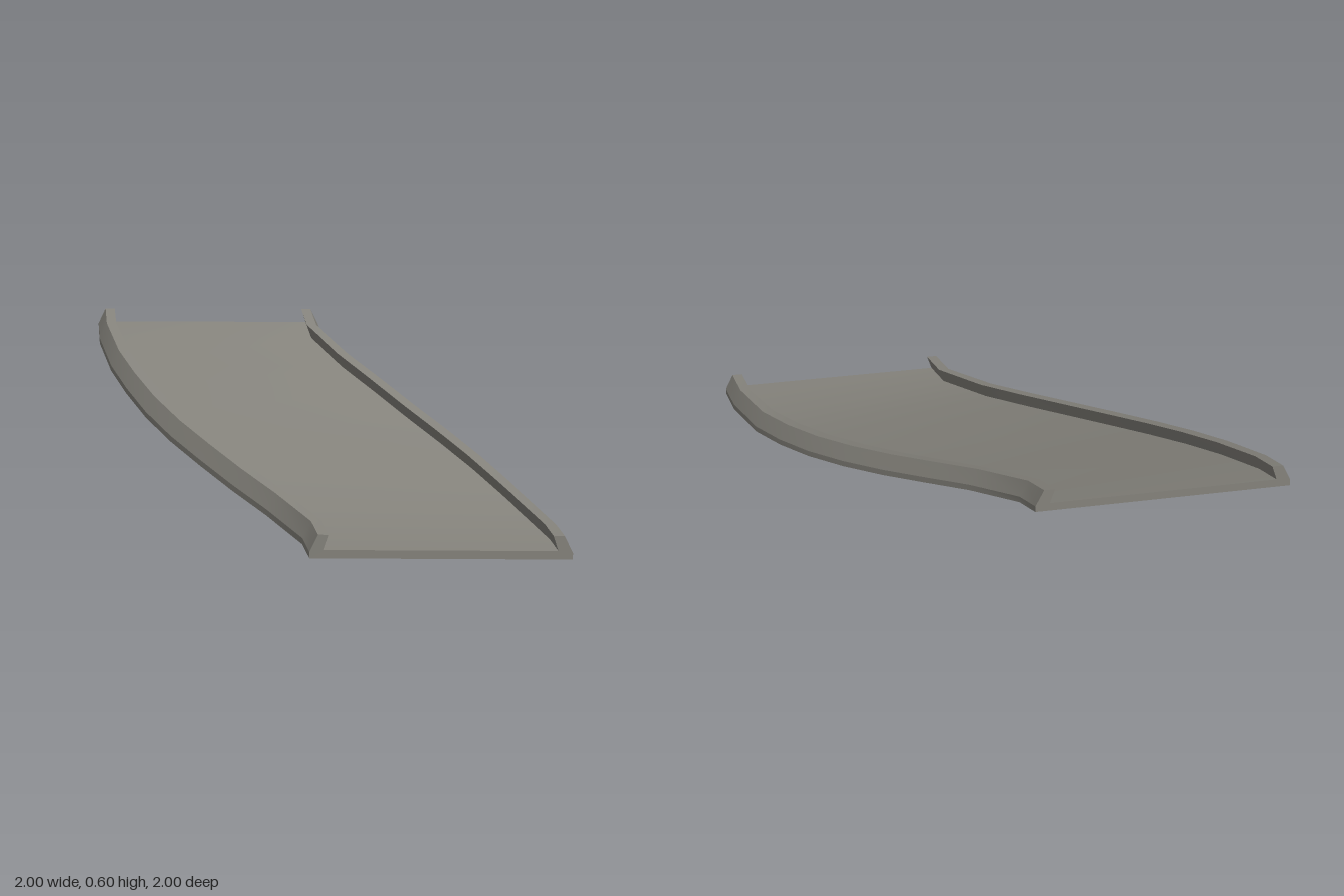
import * as THREE from 'three';
import { toCreasedNormals } from 'three/addons/utils/BufferGeometryUtils.js';

// Stations from front to back: z, left-edge x, underside height at each edge
const STATIONS = [
  [1, 0, 0, 0], [0.85, -0.03, 0.012, 0.003], [0.6, -0.18, 0.06, 0.025],
  [0.4, -0.325, 0.108, 0.065], [0.2, -0.465, 0.16, 0.115], [0, -0.6, 0.213, 0.172],
  [-0.2, -0.72, 0.27, 0.235], [-0.4, -0.82, 0.33, 0.305], [-0.6, -0.905, 0.388, 0.375],
  [-0.85, -0.98, 0.462, 0.457], [-1, -1, 0.503, 0.503],
];

// The other edge is the first one turned half way round the middle
const sections = STATIONS.map(([z, left, yLeft, yRight], i) => ({
  z, left, right: -STATIONS[STATIONS.length - 1 - i][1], yLeft, yRight,
}));

// Sweep a counter-clockwise profile (u across the width, h above the underside)
function sweep(profile) {
  const n = profile.length;
  const positions = [];
  const index = [];
  for (const s of sections) {
    for (const [u, h] of profile) {
      positions.push(
        THREE.MathUtils.lerp(s.left, s.right, u),
        THREE.MathUtils.lerp(s.yLeft, s.yRight, u) + h,
        s.z,
      );
    }
  }
  for (let i = 0; i < sections.length - 1; i++) {
    for (let j = 0; j < n; j++) {
      const a = i * n + j;
      const b = i * n + ((j + 1) % n);
      index.push(a, a + n, b, b, a + n, b + n);
    }
  }
  // End caps
  const last = (sections.length - 1) * n;
  const outline = profile.map(([u, h]) => new THREE.Vector2(u, h));
  for (const [a, b, c] of THREE.ShapeUtils.triangulateShape(outline, [])) {
    index.push(a, b, c, last + a, last + c, last + b);
  }
  const geometry = new THREE.BufferGeometry();
  geometry.setAttribute('position', new THREE.Float32BufferAttribute(positions, 3));
  geometry.setIndex(index);
  return toCreasedNormals(geometry, 0.4);
}

export function createModel() {
  const group = new THREE.Group();
  group.name = 'curvedRamp';
  const stone = new THREE.MeshStandardMaterial({ color: 0x85837c });
  stone.name = 'warm grey';

  const add = (name, profile) => {
    const mesh = new THREE.Mesh(sweep(profile), stone);
    mesh.name = name;
    group.add(mesh);
  };

  // Sloping deck
  add('deck', [[0, 0], [1, 0], [1, 0.025], [0.945, 0.033], [0.055, 0.033], [0, 0.025]]);

  // Inward-leaning kerbs, mirrored across the deck
  const kerb = [[0, 0.025], [0.055, 0.033], [0.075, 0.093], [0.033, 0.093]];
  add('rightKerb', kerb);
  add('leftKerb', kerb.map(([u, h]) => [1 - u, h]).reverse());

  return group;
}
